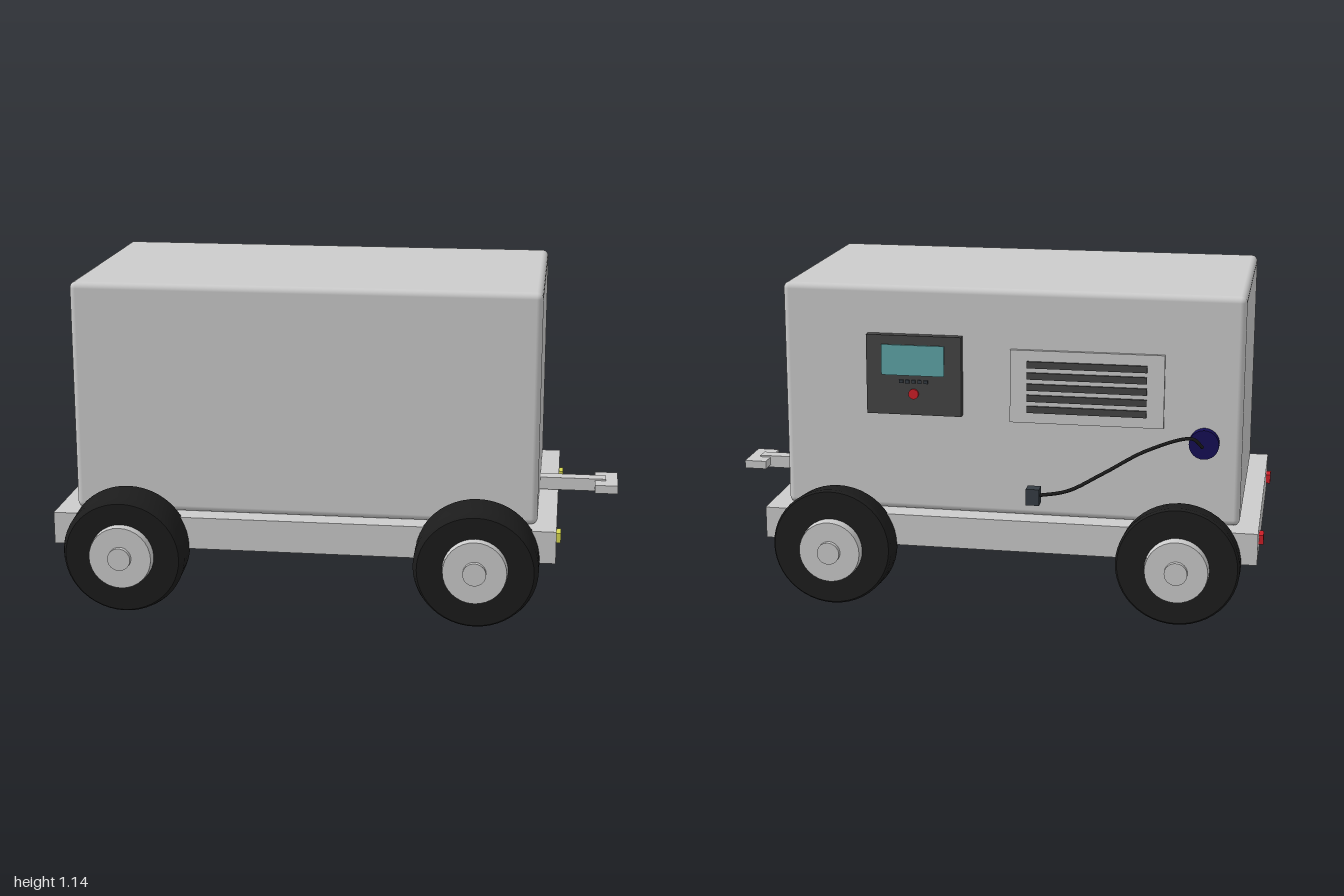
import * as THREE from 'three';
import { toCreasedNormals } from 'three/addons/utils/BufferGeometryUtils.js';
import { RoundedBoxGeometry } from 'three/addons/geometries/RoundedBoxGeometry.js';

const material = (color) => new THREE.MeshStandardMaterial({ color });
const GREY = material(0xcccccc);
const BLACK = material(0x1c1c1c);
const DARK = material(0x444444);
const NAVY = material(0x150f55);
const CYAN = material(0x5fa5a8);
const RED = material(0xcc1f28);
const YELLOW = material(0xd8d850);
const PLUG = material(0x363d44);

function add(parent, name, geometry, mat, x = 0, y = 0, z = 0) {
  const mesh = new THREE.Mesh(geometry, mat);
  mesh.name = name;
  mesh.position.set(x, y, z);
  parent.add(mesh);
  return mesh;
}

// Box given by its lower and upper limits on each axis
function block(parent, name, mat, [x0, x1], [y0, y1], [z0, z1]) {
  return add(parent, name, new THREE.BoxGeometry(x1 - x0, y1 - y0, z1 - z0), mat,
    (x0 + x1) / 2, (y0 + y1) / 2, (z0 + z1) / 2);
}

// Disc with its axis along z; r1 is the radius at the +z end
function disc(parent, name, mat, r1, r0, depth, x, y, z) {
  return add(parent, name, new THREE.CylinderGeometry(r1, r0, depth, 32).rotateX(Math.PI / 2), mat, x, y, z);
}

// Tyre: lathe profile, leaning slightly towards the front at the top
function tyreGeometry() {
  const profile = [[0, -0.067], [0.208, -0.067], [0.215, -0.055], [0.215, 0.04], [0.208, 0.058], [0.2, 0.067], [0, 0.067]]
    .map(([r, h]) => new THREE.Vector2(r, h));
  const geometry = new THREE.LatheGeometry(profile, 48).rotateX(Math.PI / 2);
  geometry.applyMatrix4(new THREE.Matrix4().set(
    1, 0, 0, 0,
    0, 0.975, -0.12, 0,
    0, 0.028, 1, 0,
    0, 0, 0, 1));
  return toCreasedNormals(geometry, 0.5);
}

export function createModel() {
  const model = new THREE.Group();
  model.name = 'generatorTrailer';

  // Chassis and housing
  block(model, 'chassis', GREY, [-0.98, 0.785], [0.216, 0.33], [-0.44, 0.578]);
  add(model, 'housing', new RoundedBoxGeometry(1.63, 0.815, 0.885, 4, 0.022), GREY, -0.097, 0.737, 0.072);

  // Drawbar
  const drawbar = new THREE.Group();
  drawbar.name = 'drawbar';
  model.add(drawbar);
  block(drawbar, 'bar', GREY, [0.7, 0.957], [0.333, 0.379], [0.045, 0.096]);
  block(drawbar, 'crossHandle', GREY, [0.917, 1], [0.343, 0.373], [-0.015, 0.156]);

  // Marker lights on both ends
  for (const z of [0.447, -0.305]) {
    block(model, 'yellowLight', YELLOW, [0.78, 0.8], [0.257, 0.291], [z - 0.027, z + 0.027]);
    block(model, 'redLight', RED, [-0.996, -0.975], [0.257, 0.291], [z - 0.027, z + 0.027]);
  }

  // Wheels
  const tyre = tyreGeometry();
  for (const x of [-0.71, 0.515]) {
    for (const side of [1, -1]) {
      const wheel = new THREE.Group();
      wheel.name = 'wheel';
      wheel.position.set(x, 0.219, side > 0 ? 0.617 : -0.473);
      model.add(wheel);
      add(wheel, 'tyre', tyre, BLACK);
      const outer = 0.109, inner = 0.115;
      disc(wheel, 'hub', GREY, side > 0 ? outer : inner, side > 0 ? inner : outer, 0.06, 0, 0, side * 0.07);
      disc(wheel, 'hubCap', GREY, 0.04, 0.04, 0.03, 0, 0, side * 0.102);
    }
  }

  // Control panel on the back
  const panel = new THREE.Group();
  panel.name = 'controlPanel';
  model.add(panel);
  block(panel, 'panelPlate', DARK, [0.07, 0.41], [0.69, 0.975], [-0.402, -0.37]);
  block(panel, 'screen', CYAN, [0.13, 0.355], [0.833, 0.942], [-0.408, -0.395]);
  for (let i = -2; i <= 2; i++) {
    const x = 0.24 + i * 0.022;
    block(panel, 'smallKey', PLUG, [x - 0.007, x + 0.007], [0.805, 0.817], [-0.408, -0.395]);
  }
  disc(panel, 'stopButton', RED, 0.018, 0.018, 0.02, 0.24, 0.767, -0.401);

  // Vent grille
  const vent = new THREE.Group();
  vent.name = 'vent';
  model.add(vent);
  block(vent, 'ventFrame', GREY, [-0.64, -0.1], [0.675, 0.935], [-0.384, -0.36]);
  for (let i = 0; i < 5; i++) {
    const y = 0.725 + i * 0.04;
    block(vent, 'slat', DARK, [-0.58, -0.16], [y - 0.012, y + 0.012], [-0.392, -0.38]);
  }

  // Socket, cable and plug
  disc(model, 'socket', NAVY, 0.052, 0.052, 0.035, -0.782, 0.63, -0.387);
  const path = new THREE.CatmullRomCurve3([
    [-0.78, 0.63, -0.437], [-0.745, 0.665, -0.458], [-0.6, 0.64, -0.54],
    [-0.46, 0.578, -0.635], [-0.35, 0.53, -0.695], [-0.24, 0.513, -0.715],
  ].map((p) => new THREE.Vector3(...p)));
  add(model, 'cable', new THREE.TubeGeometry(path, 48, 0.006, 8), BLACK);
  block(model, 'plug', PLUG, [-0.26, -0.215], [0.485, 0.541], [-0.735, -0.69]);

  return model;
}
